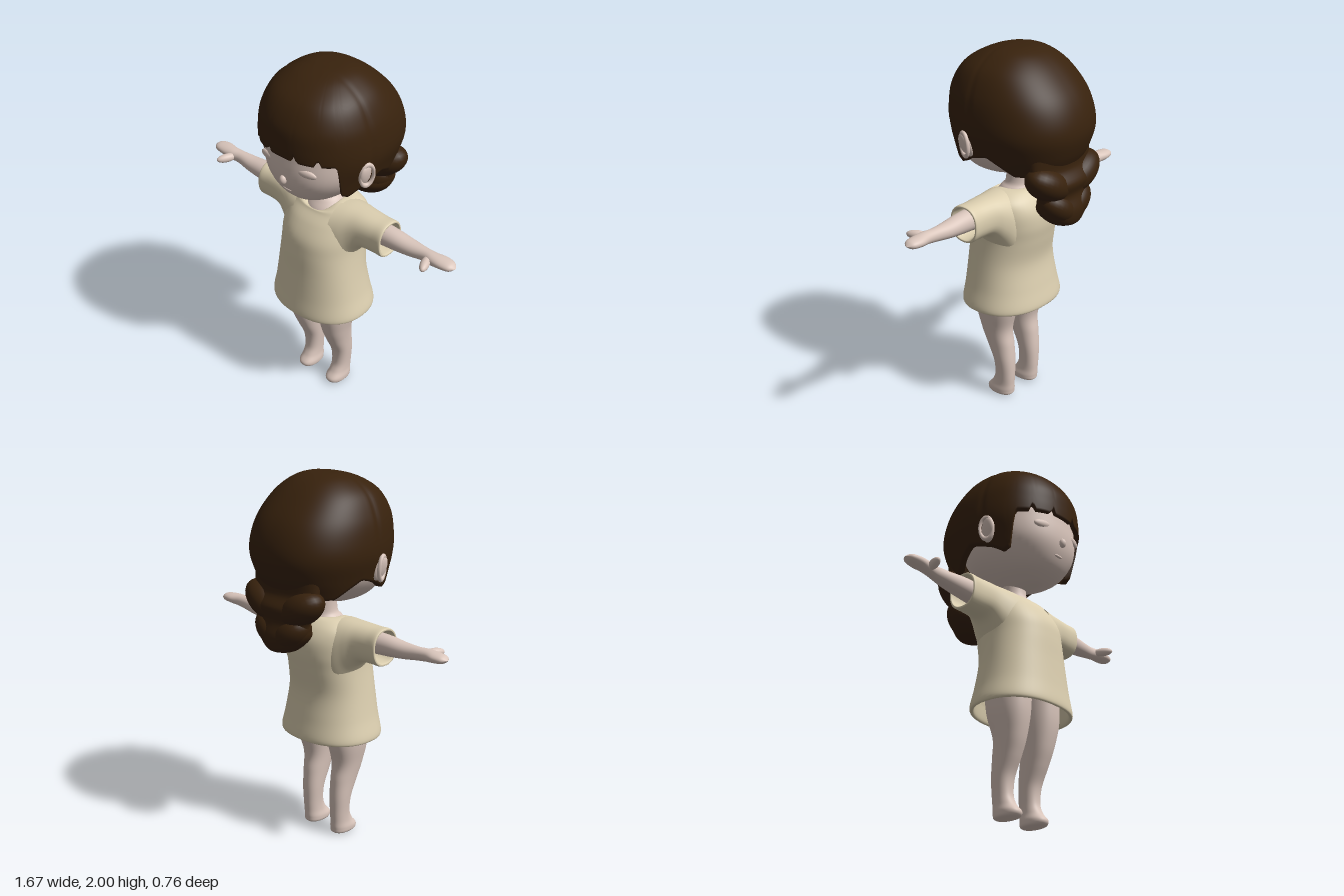
import * as THREE from 'three';

const mat = (name, color, side = THREE.FrontSide) => {
  const m = new THREE.MeshStandardMaterial({ color, side });
  m.name = name;
  return m;
};

// Catmull-Rom sample of a table of equally long rows, v in 0..1
function sample(rows, v) {
  const s = Math.min(Math.max(v, 0), 1) * (rows.length - 1);
  const i = Math.min(Math.floor(s), rows.length - 2), t = s - i;
  const row = k => rows[Math.min(Math.max(k, 0), rows.length - 1)];
  const [a, b, c, d] = [row(i - 1), row(i), row(i + 1), row(i + 2)];
  return b.map((p1, k) => {
    const m1 = (c[k] - a[k]) / 2, m2 = (d[k] - p1) / 2, t2 = t * t, t3 = t2 * t;
    return (2 * t3 - 3 * t2 + 1) * p1 + (t3 - 2 * t2 + t) * m1 + (3 * t2 - 2 * t3) * c[k] + (t3 - t2) * m2;
  });
}

// Closed tube-like grid; f(angle, v) gives a point
function grid(nu, nv, f, flip = false) {
  const pos = [], idx = [];
  for (let j = 0; j <= nv; j++)
    for (let i = 0; i < nu; i++) pos.push(...f((i / nu) * Math.PI * 2, j / nv));
  for (let j = 0; j < nv; j++)
    for (let i = 0; i < nu; i++) {
      const a = j * nu + i, b = j * nu + (i + 1) % nu, c = a + nu, d = b + nu;
      if (flip) idx.push(a, b, c, b, d, c);
      else idx.push(a, c, b, b, c, d);
    }
  const g = new THREE.BufferGeometry();
  g.setAttribute('position', new THREE.Float32BufferAttribute(pos, 3));
  g.setIndex(idx);
  g.computeVertexNormals();
  return g;
}

const pw = (c, p) => Math.sign(c) * Math.pow(Math.abs(c), 2 / p);

// Rows: [y, centre x, half width, front z, back z, optional front dip]
function loft(rows, p = 2, side = 1) {
  const table = rows.map(r => [...r, 0].slice(0, 6));
  return grid(48, (rows.length - 1) * 6, (th, v) => {
    const [y, xc, r, zf, zb, dip] = sample(table, v);
    const s = pw(Math.sin(th), p);
    return [side * (xc + Math.max(r, 0) * pw(Math.cos(th), p)),
      y - dip * Math.max(0, s) ** 2, (zf + zb) / 2 + s * (zf - zb) / 2];
  }, side < 0);
}

// Rows along x: [x, centre y, half height, front z, back z]
function loftX(rows, p, side) {
  return grid(36, (rows.length - 1) * 6, (th, v) => {
    const [x, yc, r, zf, zb] = sample(rows, v);
    return [side * x, yc + Math.max(r, 0) * pw(Math.cos(th), p),
      (zf + zb) / 2 + pw(Math.sin(th), p) * (zf - zb) / 2];
  }, side > 0);
}

// Hair outline from crown to nape: [y, half width, front z, back z]
const HAIR = [
  [2.0, 0, 0.03, 0.01], [1.995, 0.1, 0.1, -0.06], [1.965, 0.18, 0.2, -0.14],
  [1.9, 0.26, 0.3, -0.225], [1.8, 0.312, 0.362, -0.315], [1.7, 0.335, 0.378, -0.363],
  [1.6, 0.338, 0.378, -0.377], [1.5, 0.312, 0.37, -0.35], [1.42, 0.288, 0.36, -0.31],
  [1.35, 0.26, 0.34, -0.28],
];
// Hem height by angle away from the front
const HEM = [[0, 1.635], [0.85, 1.625], [0.95, 1.5], [1.02, 1.43], [1.15, 1.41], [1.35, 1.45],
  [1.63, 1.49], [1.85, 1.45], [2.1, 1.4], [3.2, 1.4]];

function hemAt(a, x) {
  let k = 0;
  while (k < HEM.length - 2 && a > HEM[k + 1][0]) k++;
  const [[a0, y0], [a1, y1]] = [HEM[k], HEM[k + 1]];
  let y = y0 + (y1 - y0) * (a - a0) / (a1 - a0);
  // Notches between locks of the fringe
  if (a < 0.85) for (const n of [0.07, 0.19]) y += 0.045 * Math.max(0, 1 - Math.abs(Math.abs(x) - n) / 0.016);
  return y;
}

function hairCap() {
  const nv = 44;
  return grid(160, nv, (th, v) => {
    const a = Math.abs(Math.atan2(Math.cos(th), Math.sin(th)));
    const hem = hemAt(a, 0.35 * Math.cos(th));
    let lo = 0, hi = 1;
    for (let i = 0; i < 20; i++) {
      const m = (lo + hi) / 2;
      if (sample(HAIR, m)[0] > hem) lo = m; else hi = m;
    }
    const rim = v > 1 - 0.5 / nv;
    const [y, r, zf, zb] = sample(HAIR, lo * Math.min(1, v * nv / (nv - 1)));
    const z = (zf + zb) / 2 + pw(Math.sin(th), 2.25) * (zf - zb) / 2;
    // Shallow parting behind the fringe, and the rim turned inward
    const k = (1 - 0.014 * Math.exp(-(((z - 0.08) / 0.016) ** 2))) * (rim ? 0.9 : 1);
    return [pw(Math.cos(th), 2.25) * r * k, y > 1.9 ? 1.9 + (y - 1.9) * k : y, z * (rim ? 0.92 : 1)];
  }, true);
}

export function createModel() {
  const model = new THREE.Group();
  const skin = mat('skin', 0xdac6bc);
  const hair = mat('brown hair', 0x38220d, THREE.DoubleSide);
  const cloth = mat('cream cloth', 0xdccfb0, THREE.DoubleSide);
  const add = (name, geo, m) => {
    const mesh = new THREE.Mesh(geo, m);
    mesh.name = name;
    model.add(mesh);
    return mesh;
  };
  const ball = (name, m, [x, y, z], [sx, sy, sz], rot = [0, 0, 0]) => {
    const b = add(name, new THREE.SphereGeometry(1, 28, 18), m);
    b.position.set(x, y, z);
    b.scale.set(sx, sy, sz);
    b.rotation.set(...rot);
  };

  // Head, neck and small face features
  add('head', loft([
    [1.303, 0, 0, 0.16, 0.12], [1.31, 0, 0.06, 0.215, 0.05], [1.355, 0, 0.16, 0.29, -0.07],
    [1.42, 0, 0.232, 0.337, -0.19], [1.5, 0, 0.277, 0.363, -0.25], [1.6, 0, 0.292, 0.364, -0.29],
    [1.7, 0, 0.285, 0.345, -0.3], [1.83, 0, 0.22, 0.25, -0.22], [1.92, 0, 0, 0.03, 0]], 2.15), skin);
  add('neck', loft([
    [1.12, 0, 0.14, 0.17, -0.07], [1.19, 0, 0.115, 0.15, -0.055], [1.235, 0, 0.085, 0.12, -0.045],
    [1.27, 0, 0.062, 0.095, -0.035], [1.36, 0, 0.06, 0.09, -0.04]]), skin);
  ball('nose', skin, [0, 1.49, 0.364], [0.02, 0.026, 0.02]);
  ball('mouth', skin, [0, 1.42, 0.333], [0.032, 0.008, 0.009]);

  // Hair cap and gathered tail
  add('hairCap', hairCap(), hair);
  add('hairTail', loft([
    [1.11, 0, 0, -0.28, -0.31], [1.125, 0, 0.09, -0.21, -0.355], [1.2, 0, 0.165, -0.155, -0.372],
    [1.28, 0, 0.18, -0.195, -0.35], [1.35, 0, 0.225, -0.16, -0.365], [1.42, 0, 0.225, -0.175, -0.325],
    [1.5, 0, 0.23, -0.14, -0.33]]), hair);

  // Shirt body with scooped collar and turned hem
  add('shirtBody', loft([
    [0.66, 0, 0.25, 0.28, -0.13], [0.59, 0, 0.262, 0.285, -0.14], [0.575, 0, 0.278, 0.3, -0.153],
    [0.6, 0, 0.285, 0.307, -0.16], [0.7, 0, 0.262, 0.295, -0.142], [0.84, 0, 0.24, 0.282, -0.124],
    [0.97, 0, 0.226, 0.273, -0.145], [1.06, 0, 0.225, 0.258, -0.16], [1.14, 0, 0.222, 0.215, -0.155],
    [1.2, 0, 0.21, 0.172, -0.125, 0.01], [1.24, 0, 0.16, 0.16, -0.085, 0.035],
    [1.25, 0, 0.105, 0.148, -0.055, 0.055], [1.235, 0, 0.098, 0.13, -0.045, 0.055]], 2.25), cloth);

  for (const side of [1, -1]) {
    const word = side > 0 ? 'left' : 'right';

    // Sleeve with an inner lining
    add(word + 'Sleeve', loftX([
      [0.12, 1.07, 0.178, 0.19, -0.105], [0.17, 1.075, 0.176, 0.175, -0.1], [0.225, 1.117, 0.134, 0.15, -0.08],
      [0.28, 1.146, 0.104, 0.135, -0.062], [0.36, 1.149, 0.099, 0.127, -0.053], [0.415, 1.149, 0.1, 0.127, -0.053],
      [0.425, 1.149, 0.093, 0.12, -0.046], [0.41, 1.15, 0.084, 0.112, -0.038],
      [0.3, 1.15, 0.075, 0.105, -0.03]], 2.3, side), cloth);

    // Arm, mitten hand and thumb
    add(word + 'Arm', loftX([
      [0.2, 1.16, 0.06, 0.1, -0.03], [0.42, 1.165, 0.055, 0.092, -0.02], [0.55, 1.165, 0.043, 0.082, -0.012],
      [0.64, 1.17, 0.035, 0.07, 0], [0.7, 1.174, 0.032, 0.078, 0.002], [0.76, 1.177, 0.027, 0.08, -0.008],
      [0.81, 1.177, 0.02, 0.07, 0.002], [0.835, 1.177, 0, 0.04, 0.03]], 2.1, side), skin);
    ball(word + 'Thumb', skin, [side * 0.695, 1.172, 0.098], [0.024, 0.024, 0.058], [0, side * 0.4, 0]);

    // Leg and foot
    add(word + 'Leg', loft([
      [0, 0.102, 0, 0.09, 0.05], [0.008, 0.102, 0.045, 0.135, -0.005], [0.035, 0.102, 0.053, 0.147, -0.014],
      [0.075, 0.103, 0.047, 0.115, -0.016], [0.13, 0.104, 0.047, 0.094, -0.019],
      [0.22, 0.105, 0.054, 0.1, -0.02], [0.32, 0.106, 0.062, 0.142, -0.012], [0.42, 0.109, 0.073, 0.178, -0.002],
      [0.56, 0.114, 0.092, 0.206, -0.037], [0.75, 0.11, 0.1, 0.21, -0.06]], 2.3, side), skin);

    // Ear with raised rim, and closed eyelid
    ball(word + 'Ear', skin, [side * 0.312, 1.53, 0.11], [0.02, 0.068, 0.042], [0.2, 0, -side * 0.25]);
    const rim = add(word + 'EarRim', new THREE.TorusGeometry(0.05, 0.011, 10, 36), skin);
    rim.position.set(side * 0.325, 1.535, 0.11);
    rim.scale.set(0.75, 1.25, 1);
    rim.rotation.set(0.2, side * 1.2, -side * 0.2);
    ball(word + 'Eyelid', skin, [side * 0.13, 1.565, 0.333], [0.055, 0.022, 0.014], [0, side * 0.25, -side * 0.08]);

    // Crossing locks that swell the tail
    ball(word + 'HairLock', hair, [side * 0.125, 1.35, -0.265], [0.15, 0.085, 0.1], [0, 0, side * 0.5]);
    ball(word + 'LowerHairLock', hair, [side * 0.06, 1.21, -0.275], [0.13, 0.08, 0.095], [0, 0, side * 0.6]);
  }
  return model;
}
